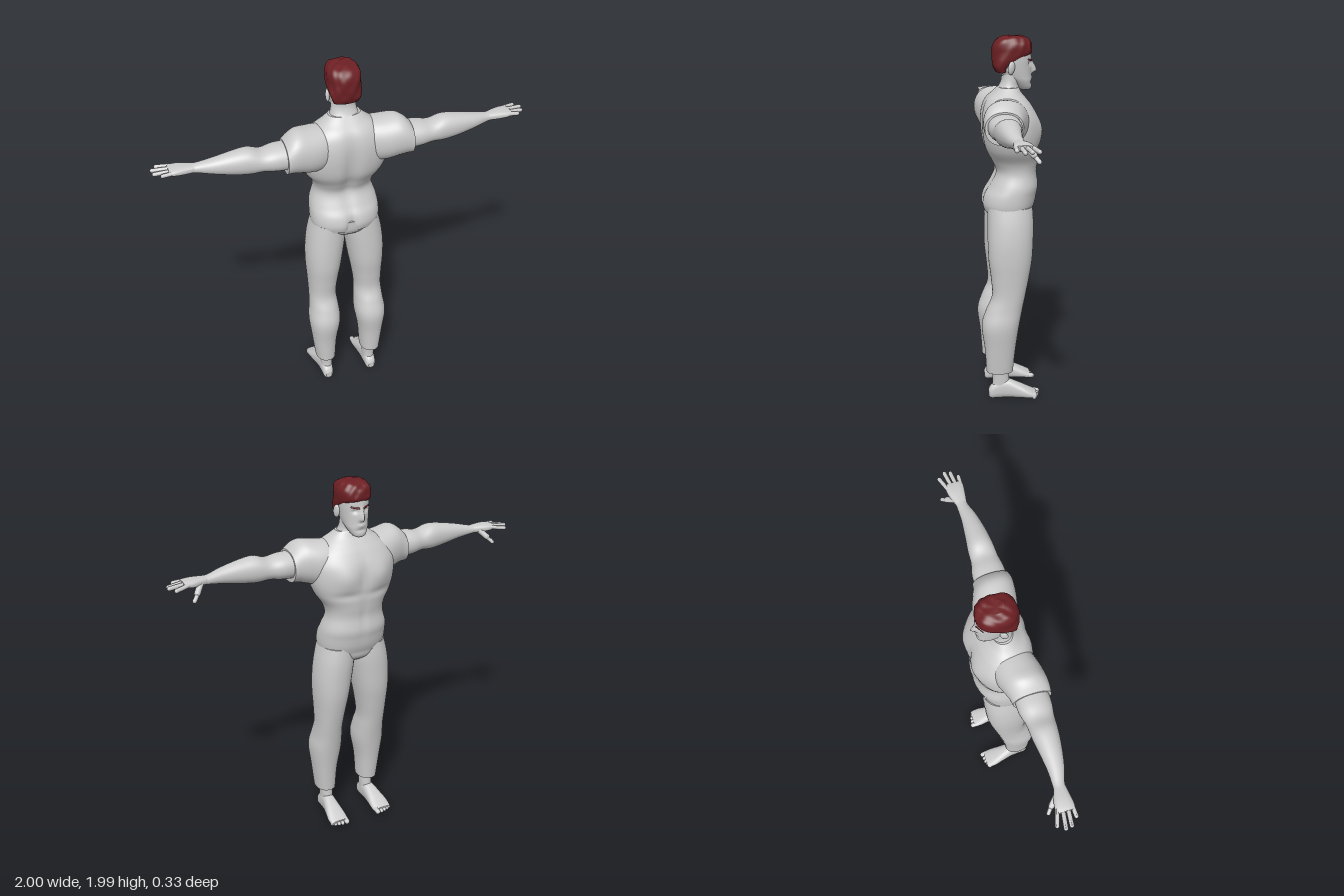
import * as THREE from 'three';

const lightGrey = new THREE.MeshStandardMaterial({ color: 0xcccccc });
lightGrey.name = 'lightGrey';
const darkRed = new THREE.MeshStandardMaterial({ color: 0x6e2024 });
darkRed.name = 'darkRed';

const bell = (u, c, w) => Math.exp(-(((u - c) / w) ** 2));

// Smooth loft along an axis. Keys: [t, a0, a1, b0, b1], t increasing.
// axis y: a = x, b = z;  axis x: a = z, b = y;  axis z: a = y, b = x
function loft(axis, keys, { n = 2.2, seg = 36, sub = 5, bump } = {}) {
  const pos = [], idx = [], rings = [];
  const place = {
    x: (t, a, b) => new THREE.Vector3(t, b, a),
    y: (t, a, b) => new THREE.Vector3(a, t, b),
    z: (t, a, b) => new THREE.Vector3(b, a, t),
  }[axis];
  const spline = (p0, p1, p2, p3, f) => {
    const v0 = (p2 - p0) / 2, v1 = (p3 - p1) / 2;
    return p1 + v0 * f + (3 * (p2 - p1) - 2 * v0 - v1) * f * f + (2 * (p1 - p2) + v0 + v1) * f ** 3;
  };
  const last = keys.length - 1;
  for (let s = 0; s <= last * sub; s++) {
    const k = Math.min(Math.floor(s / sub), last - 1), f = s / sub - k;
    const at = (i) => keys[Math.max(0, Math.min(last, i))];
    rings.push(keys[0].map((_, c) => spline(at(k - 1)[c], at(k)[c], at(k + 1)[c], at(k + 2)[c], f)));
  }
  const round = (v) => Math.sign(v) * Math.abs(v) ** (2 / n);
  const ringPoint = ([t, a0, a1, b0, b1], i) => {
    const th = (i / seg) * Math.PI * 2;
    const p = place(t, (a0 + a1) / 2 + round(Math.cos(th)) * (a1 - a0) / 2,
      (b0 + b1) / 2 + round(Math.sin(th)) * (b1 - b0) / 2);
    if (bump) bump(p);
    return p;
  };
  rings.forEach((r, j) => {
    for (let i = 0; i < seg; i++) {
      pos.push(...ringPoint(r, i).toArray());
      if (j === rings.length - 1) continue;
      const A = j * seg + i, B = j * seg + (i + 1) % seg, C = A + seg, D = B + seg;
      idx.push(A, C, B, B, C, D);
    }
  });
  // end caps with their own rim vertices
  [rings[0], rings[rings.length - 1]].forEach((r, end) => {
    const o = pos.length / 3;
    pos.push(...place(r[0], (r[1] + r[2]) / 2, (r[3] + r[4]) / 2).toArray());
    for (let i = 0; i < seg; i++) pos.push(...ringPoint(r, i).toArray());
    for (let i = 0; i < seg; i++) {
      const p = o + 1 + i, q = o + 1 + (i + 1) % seg;
      idx.push(o, end ? q : p, end ? p : q);
    }
  });
  const g = new THREE.BufferGeometry();
  g.setAttribute('position', new THREE.Float32BufferAttribute(pos, 3));
  g.setIndex(idx);
  g.computeVertexNormals();
  return g;
}

// Symmetric upright loft: [y, halfWidth, zFront, zBack]
const column = (keys, opt) => loft('y', keys.map(([y, w, f, b]) => [y, -w, w, f, b]), opt);

// Rounded rod between two points
function rod(a, b, r) {
  const p = new THREE.Vector3(...a), q = new THREE.Vector3(...b), d = q.clone().sub(p);
  const g = new THREE.CapsuleGeometry(r, d.length(), 5, 12);
  g.applyQuaternion(new THREE.Quaternion().setFromUnitVectors(new THREE.Vector3(0, 1, 0), d.normalize()));
  return g.translate(...p.add(q).multiplyScalar(0.5).toArray());
}

function mirrored(g) {
  const m = g.clone().scale(-1, 1, 1), ix = m.index.array;
  for (let i = 0; i < ix.length; i += 3) [ix[i], ix[i + 1]] = [ix[i + 1], ix[i]];
  m.computeVertexNormals();
  return m;
}

export function createModel() {
  const model = new THREE.Group();
  model.name = 'standingMan';
  const add = (name, g, mat = lightGrey) => {
    const m = new THREE.Mesh(g, mat);
    m.name = name;
    model.add(m);
  };
  const pair = (name, g, mat) => {
    add(name + 'A', g, mat);
    add(name + 'B', mirrored(g), mat);
  };

  // Shirt with chest, spine and seat modelling (the figure faces -z)
  add('shirt', column([
    [1.06, 0.18, -0.115, 0.145], [1.1, 0.187, -0.13, 0.155], [1.15, 0.187, -0.14, 0.145],
    [1.2, 0.18, -0.148, 0.115], [1.27, 0.16, -0.14, 0.085], [1.33, 0.17, -0.146, 0.105],
    [1.4, 0.213, -0.152, 0.14], [1.48, 0.236, -0.15, 0.155], [1.56, 0.232, -0.142, 0.157],
    [1.62, 0.2, -0.115, 0.147], [1.66, 0.16, -0.085, 0.127], [1.69, 0.12, -0.06, 0.095],
    [1.72, 0.085, -0.045, 0.065],
  ], { n: 2.3, seg: 72, sub: 6, bump: (p) => {
    const ax = Math.abs(p.x);
    if (p.z > 0.02) {
      p.z -= 0.022 * bell(ax, 0, 0.035) * bell(p.y, 1.42, 0.2);
      p.z -= 0.025 * bell(ax, 0, 0.02) * bell(p.y, 1.08, 0.07);
    } else if (p.z < -0.02) {
      p.z -= 0.02 * bell(ax, 0.095, 0.07) * bell(p.y, 1.5, 0.065);
      p.z += 0.008 * bell(ax, 0, 0.02) * bell(p.y, 1.5, 0.09);
      p.z += 0.008 * bell(p.y, 1.405, 0.02) * bell(ax, 0.09, 0.08);
      p.z += 0.006 * bell(ax, 0, 0.015) * bell(p.y, 1.27, 0.11);
    }
  } }));
  pair('sleeve', loft('x', [
    [0.08, -0.06, 0.12, 1.46, 1.67], [0.14, -0.08, 0.145, 1.44, 1.675], [0.2, -0.075, 0.16, 1.44, 1.68],
    [0.26, -0.055, 0.167, 1.455, 1.686], [0.3, -0.04, 0.168, 1.465, 1.67], [0.335, -0.032, 0.165, 1.468, 1.638],
  ]));

  // Trousers
  add('trouserSeat', column([
    [0.985, 0.03, -0.05, 0.06], [1.02, 0.12, -0.1, 0.112], [1.06, 0.172, -0.115, 0.14], [1.12, 0.18, -0.125, 0.145],
  ]));
  pair('trouserLeg', loft('y', [
    [0.16, 0.08, 0.19, 0, 0.145], [0.3, 0.07, 0.207, -0.015, 0.155], [0.43, 0.048, 0.222, -0.035, 0.17],
    [0.52, 0.052, 0.212, -0.052, 0.145], [0.6, 0.058, 0.208, -0.068, 0.113], [0.7, 0.045, 0.212, -0.088, 0.118],
    [0.8, 0.027, 0.218, -0.105, 0.13], [0.9, 0.012, 0.217, -0.112, 0.133], [1, 0, 0.205, -0.115, 0.132],
    [1.09, 0, 0.184, -0.11, 0.13],
  ]));

  // Bare feet
  pair('ankle', loft('y', [
    [0.03, 0.1, 0.162, 0.01, 0.125], [0.1, 0.096, 0.163, 0.02, 0.112], [0.2, 0.095, 0.165, 0.025, 0.12],
  ]));
  pair('foot', loft('z', [
    [-0.13, 0.004, 0.03, 0.092, 0.188], [-0.12, 0, 0.036, 0.086, 0.193], [-0.08, 0, 0.058, 0.085, 0.194],
    [-0.03, 0, 0.085, 0.09, 0.183], [0.03, 0, 0.11, 0.095, 0.17], [0.08, 0, 0.105, 0.097, 0.165],
    [0.12, 0, 0.075, 0.103, 0.16], [0.135, 0.012, 0.05, 0.115, 0.148],
  ], { n: 2.5 }));
  for (let i = 0; i < 5; i++) {
    const x = [0.1, 0.126, 0.147, 0.166, 0.183][i], r = i ? 0.011 : 0.015;
    pair('toe' + i, rod([x, 0.02, -0.11], [x + 0.002, r, -0.139 + 0.003 * i * i / 2], r));
  }

  // Arms and hands
  pair('arm', loft('x', [
    [0.28, -0.02, 0.15, 1.49, 1.63], [0.38, -0.02, 0.15, 1.495, 1.627], [0.45, -0.004, 0.14, 1.505, 1.617],
    [0.52, 0, 0.135, 1.5, 1.638], [0.6, 0.01, 0.125, 1.51, 1.63], [0.7, 0.02, 0.105, 1.53, 1.61],
    [0.78, 0.02, 0.08, 1.545, 1.592], [0.83, 0.016, 0.08, 1.552, 1.592],
  ]));
  pair('palm', loft('x', [
    [0.79, 0.02, 0.078, 1.55, 1.59], [0.85, 0.0, 0.086, 1.55, 1.594], [0.89, -0.006, 0.09, 1.555, 1.592],
    [0.915, 0, 0.086, 1.562, 1.588],
  ], { n: 2.6 }));
  const fingers = [[0.005, 0.965, -0.02], [0.03, 0.989, 0.015], [0.055, 0.983, 0.046], [0.077, 0.948, 0.08]];
  fingers.forEach(([z, x, tip], i) =>
    pair('finger' + i, rod([0.89, 1.576, z], [x, 1.568 + 0.004 * (i % 2), tip], 0.011)));
  pair('thumbBase', rod([0.825, 1.565, 0.025], [0.858, 1.53, -0.01], 0.016));
  pair('thumb', rod([0.855, 1.53, -0.01], [0.882, 1.503, -0.032], 0.011));

  // Neck and head
  add('neck', column([
    [1.64, 0.105, -0.07, 0.1], [1.69, 0.088, -0.058, 0.085], [1.73, 0.07, -0.045, 0.057],
    [1.77, 0.064, -0.05, 0.045], [1.83, 0.062, -0.05, 0.05],
  ]));
  add('head', column([
    [1.703, 0.02, -0.103, -0.06], [1.715, 0.037, -0.113, -0.04], [1.75, 0.057, -0.113, 0],
    [1.78, 0.066, -0.112, 0.045], [1.82, 0.073, -0.111, 0.073], [1.86, 0.077, -0.111, 0.083],
    [1.9, 0.077, -0.108, 0.085], [1.94, 0.068, -0.088, 0.075], [1.97, 0.04, -0.045, 0.045],
  ], { seg: 72, sub: 7, bump: (p) => {
    if (p.z > -0.04) return;
    const ax = Math.abs(p.x), ridge = p.y > 1.8 ? 0.045 : 0.012;
    p.z -= 0.03 * bell(ax, 0, 0.012) * bell(p.y, 1.803, ridge);
    p.z += 0.012 * bell(ax, 0.03, 0.015) * bell(p.y, 1.843, 0.012);
    p.z -= 0.006 * bell(ax, 0, 0.02) * bell(p.y, 1.767, 0.01);
    p.z += 0.005 * bell(ax, 0, 0.03) * bell(p.y, 1.742, 0.008);
  } }));
  pair('ear', new THREE.SphereGeometry(1, 18, 12).scale(0.011, 0.035, 0.02)
    .rotateY(0.4).rotateX(-0.15).translate(0.083, 0.0 + 1.825, 0.002));
  pair('eyebrow', rod([0.014, 1.858, -0.111], [0.048, 1.864, -0.092], 0.005), darkRed);

  // Hair: the hairline rises from nape to forehead, with soft waves
  add('hair', column([
    [1.8, 0.066, 0.015, 0.078], [1.825, 0.076, 0.008, 0.089], [1.855, 0.083, -0.04, 0.094],
    [1.88, 0.085, -0.09, 0.096], [1.9, 0.086, -0.113, 0.096], [1.93, 0.087, -0.114, 0.093],
    [1.955, 0.082, -0.106, 0.082], [1.975, 0.066, -0.085, 0.06], [1.985, 0.035, -0.05, 0.025],
  ], { n: 2.4, seg: 60, sub: 5, bump: (p) => {
    const w = 0.003 * Math.sin(p.x * 90 + p.z * 40) * Math.sin(p.z * 70 + p.y * 60);
    p.x *= 1 + w * 10;
    p.z *= 1 + w * 10;
    p.y += w;
  } }), darkRed);

  return model;
}
